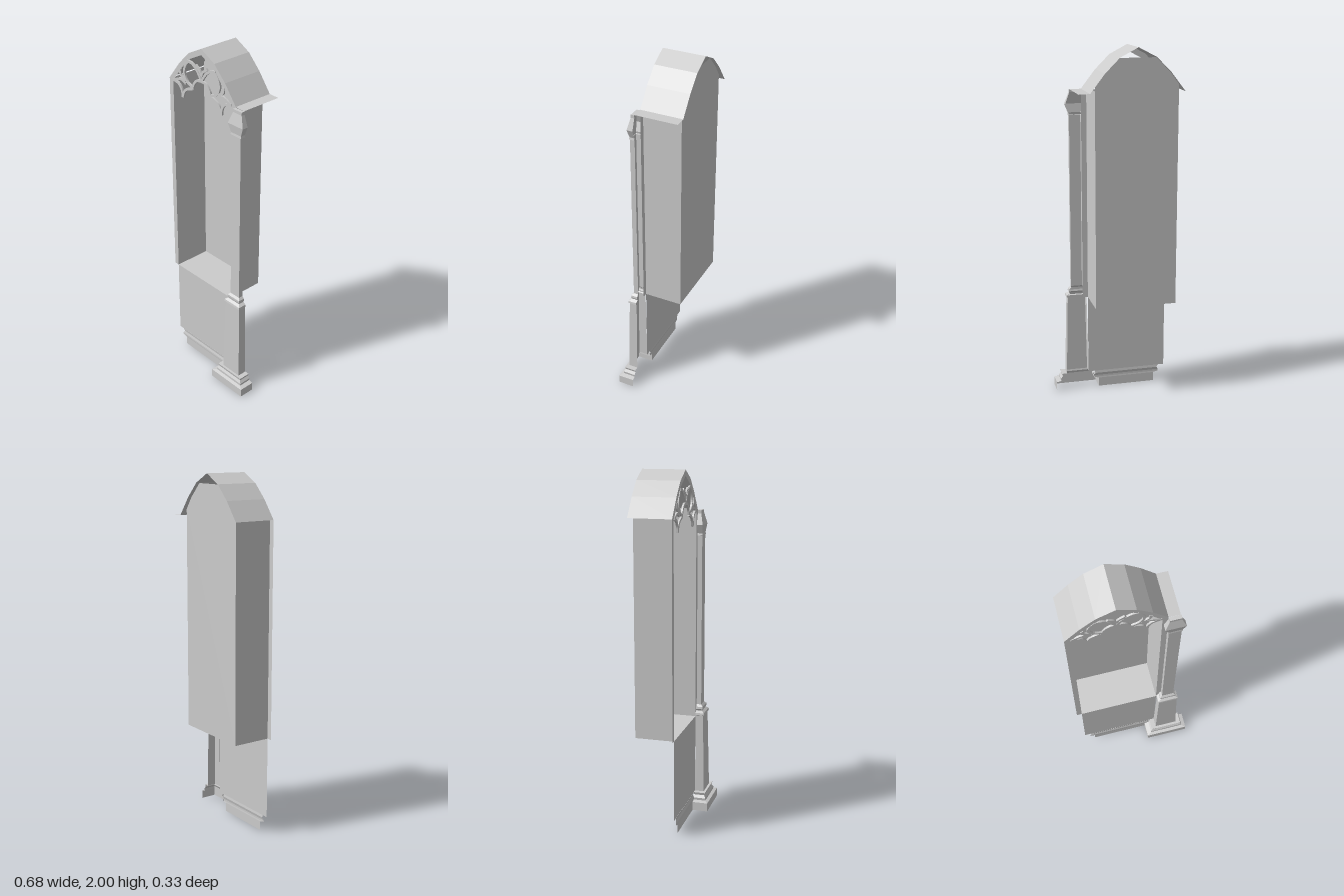
import * as THREE from 'three';

const mat = new THREE.MeshStandardMaterial({ color: 0xcccccc, flatShading: true, side: THREE.DoubleSide });
const CX = -0.08;   // centre line of the niche
const FRONT = 0.074; // plane of the wall face
const BACK = -0.145;

// Half of the pointed arch, from springing to apex: [distance from centre, y]
const outerHalf = [[0.26, 1.765], [0.18, 1.868], [0.1, 1.948], [0, 2]];
const innerHalf = [[0.23, 1.755], [0.16, 1.849], [0.086, 1.921], [0, 1.966]];
const arch = half => [
  ...half.map(([d, y]) => [CX - d, y]),
  ...half.slice(0, -1).reverse().map(([d, y]) => [CX + d, y]),
];

function polygon(points) {
  return new THREE.Shape(points.map(([x, y]) => new THREE.Vector2(x, y)));
}

// Joins successive rows of [x, y, z] points with quads
function loft(rows) {
  const pos = [];
  for (let i = 0; i + 1 < rows.length; i++) {
    for (let j = 0; j + 1 < rows[i].length; j++) {
      const a = rows[i][j], b = rows[i][j + 1], c = rows[i + 1][j + 1], d = rows[i + 1][j];
      pos.push(...a, ...b, ...c, ...a, ...c, ...d);
    }
  }
  const g = new THREE.BufferGeometry();
  g.setAttribute('position', new THREE.Float32BufferAttribute(pos, 3));
  g.computeVertexNormals();
  return g;
}

// Flat curved rib of constant width through a few points
function ribGeometry(points, width = 0.014) {
  const curve = new THREE.CatmullRomCurve3(points.map(([x, y]) => new THREE.Vector3(x, y, 0)));
  const left = [], right = [];
  const n = 14;
  for (let i = 0; i <= n; i++) {
    const p = curve.getPoint(i / n), t = curve.getTangent(i / n);
    const ox = -t.y * width / 2, oy = t.x * width / 2;
    left.push([p.x + ox, p.y + oy]);
    right.unshift([p.x - ox, p.y - oy]);
  }
  return new THREE.ExtrudeGeometry(polygon([...left, ...right]), { depth: 0.01, bevelEnabled: false });
}

export function createModel() {
  const root = new THREE.Group();
  const add = (name, geometry, parent = root) => {
    const mesh = new THREE.Mesh(geometry, mat);
    mesh.name = name;
    parent.add(mesh);
    return mesh;
  };

  // Flat frame around the niche opening
  const base = 0.565;
  const frame = polygon([[CX - 0.26, base], ...arch(outerHalf), [CX + 0.26, base],
    [CX + 0.23, base], ...arch(innerHalf).reverse(), [CX - 0.23, base]]);
  add('nicheFrame', new THREE.ShapeGeometry(frame)).position.z = FRONT;

  // Niche side walls, sill and back wall
  const box = [[-0.23, 1.775], [-0.23, base], [0.23, base], [0.23, 1.775]];
  add('nicheSidesAndSill', loft([FRONT, BACK].map(z => box.map(([d, y]) => [CX + d, y, z]))));
  const back = polygon([[CX - 0.23, base], [CX + 0.23, base], [CX + 0.23, 1.8], [CX + 0.18, 1.868],
    [CX + 0.103, 1.945], [CX - 0.103, 1.945], [CX - 0.18, 1.868], [CX - 0.23, 1.8]]);
  add('nicheBack', new THREE.ShapeGeometry(back)).position.z = BACK;

  // Pointed roof with a small ledge on the column side
  const roof = [...arch(outerHalf), [0.242, 1.763]];
  add('roof', loft([FRONT, -0.167].map(z => roof.map(([x, y]) => [x, y, z]))));

  // Lower wall with moulded foot: [y, half width, z]
  const foot = [[base, 0.23, FRONT], [0.1, 0.23, FRONT], [0.1, 0.195, 0.075], [0.085, 0.188, 0.073],
    [0.07, 0.197, 0.077], [0.06, 0.197, 0.077], [0.052, 0.167, 0.076], [0, 0.167, 0.076]];
  add('lowerWall', loft(foot.map(([y, w, z]) => [[CX - w, y, z], [CX + w, y, z]])));

  // Half column, open at the back: [y, half width, front z]
  const halfColumn = (name, profile) => add(name, loft(profile.map(([y, w, z]) => [
    [0.213 - w, y, FRONT], [0.213 - w, y, z], [0.213 + w, y, z], [0.213 + w, y, FRONT]])), column);
  const column = new THREE.Group();
  column.name = 'column';
  root.add(column);
  halfColumn('columnBase', [[0, 0.126, 0.165], [0.05, 0.126, 0.165], [0.056, 0.1, 0.147], [0.07, 0.102, 0.147],
    [0.085, 0.09, 0.138], [0.1, 0.095, 0.142], [0.1, 0.066, 0.128]]);
  halfColumn('pedestal', [[0.1, 0.066, 0.128], [0.568, 0.055, 0.118]]);
  halfColumn('pedestalCap', [[0.568, 0.055, 0.118], [0.572, 0.062, 0.125], [0.584, 0.06, 0.123], [0.595, 0.042, 0.109],
    [0.605, 0.048, 0.112], [0.618, 0.046, 0.112], [0.63, 0.034, 0.101]]);
  halfColumn('shaft', [[0.63, 0.034, 0.101], [1.62, 0.034, 0.101]]);
  halfColumn('capital', [[1.62, 0.034, 0.101], [1.622, 0.039, 0.104], [1.634, 0.036, 0.102], [1.682, 0.055, 0.108],
    [1.745, 0.032, 0.094], [1.762, 0.032, 0.094], [1.762, 0, FRONT]]);

  // Tracery: ribs given for one half as [distance from centre, y], then mirrored
  const ribs = [
    [[0, 1.822], [0.035, 1.815], [0.062, 1.785], [0.07, 1.757]],                  // centre foil
    [[0.07, 1.757], [0.1, 1.748], [0.132, 1.73], [0.153, 1.685]],                 // lower cusp
    [[0.153, 1.685], [0.158, 1.72], [0.18, 1.75], [0.228, 1.765]],                // side foil
    [[0.07, 1.765], [0.115, 1.785], [0.138, 1.83], [0.125, 1.875], [0.105, 1.9]], // outer side of eye
    [[0, 1.822], [0.018, 1.85], [0.042, 1.878], [0.075, 1.9], [0.11, 1.903]],     // upper side of eye
    [[0.125, 1.77], [0.16, 1.785], [0.195, 1.775], [0.225, 1.76]],                // outer brace
    [[0.125, 1.785], [0.165, 1.81], [0.17, 1.84]],                                // branch to the frame
    [[0, 1.85], [0.012, 1.875], [0.045, 1.9]],                                    // top foil
  ];
  const tracery = new THREE.Group();
  tracery.name = 'tracery';
  root.add(tracery);
  for (const s of [-1, 1]) {
    for (const rib of ribs) {
      add('traceryRib', ribGeometry(rib.map(([d, y]) => [CX + s * d, y])), tracery).position.z = FRONT - 0.007;
    }
  }
  return root;
}
